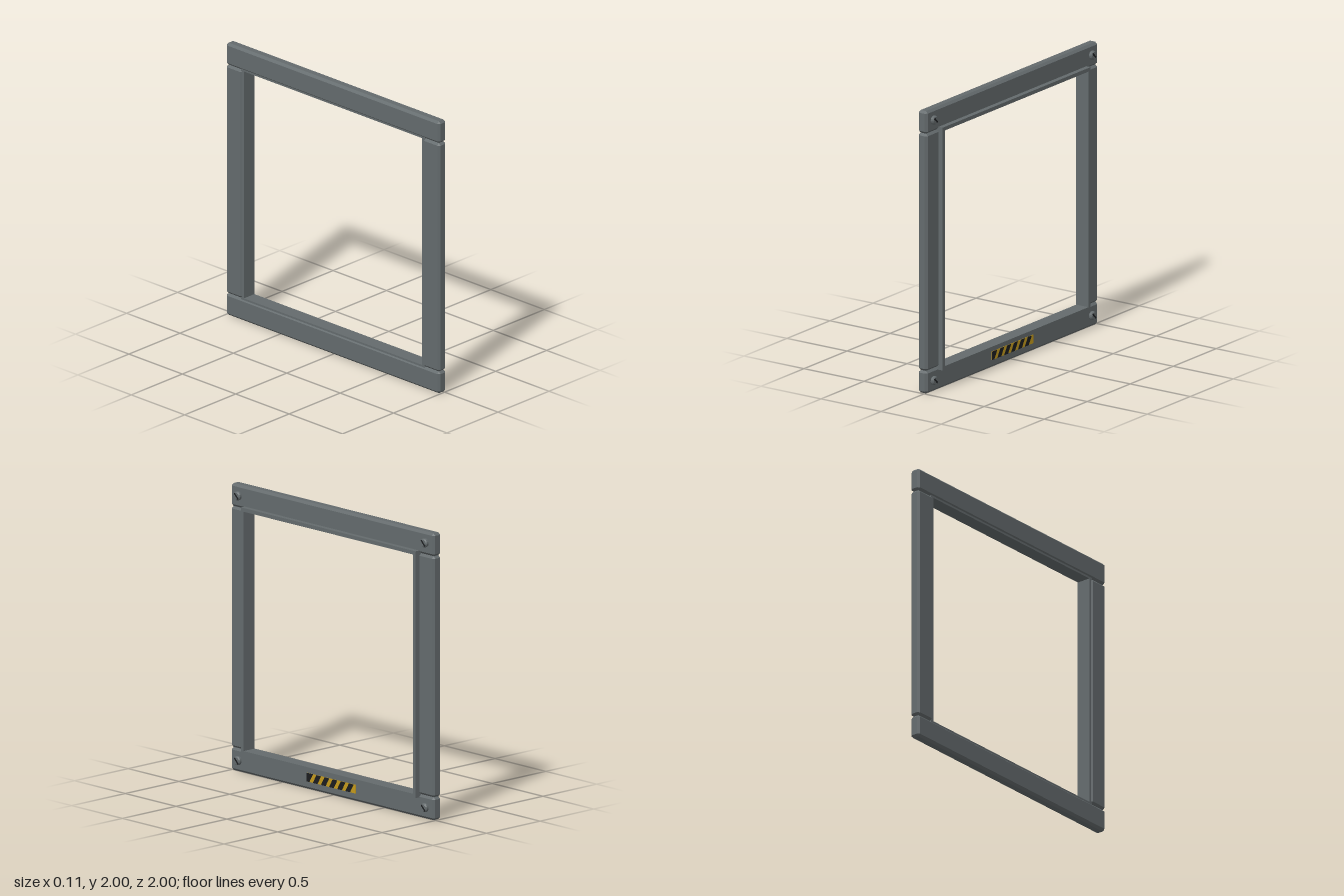
import * as THREE from 'three';
import { ConvexGeometry } from 'three/addons/geometries/ConvexGeometry.js';

const steel = new THREE.MeshStandardMaterial({ color: 0x646b6d });
steel.name = 'steel grey';
const yellow = new THREE.MeshStandardMaterial({ color: 0xc49a1c });
yellow.name = 'warning yellow';
const black = new THREE.MeshStandardMaterial({ color: 0x1b1d1f });
black.name = 'black';

function add(parent, name, geometry, material, x = 0, y = 0, z = 0) {
  const mesh = new THREE.Mesh(geometry, material);
  mesh.name = name;
  mesh.position.set(x, y, z);
  parent.add(mesh);
  return mesh;
}

// Box with every edge bevelled by c
function bevelledBox(w, h, d, c) {
  const points = [];
  for (const sx of [-1, 1]) for (const sy of [-1, 1]) for (const sz of [-1, 1]) {
    const x = w / 2, y = h / 2, z = d / 2;
    points.push(
      new THREE.Vector3(sx * x, sy * (y - c), sz * (z - c)),
      new THREE.Vector3(sx * (x - c), sy * y, sz * (z - c)),
      new THREE.Vector3(sx * (x - c), sy * (y - c), sz * z));
  }
  return new ConvexGeometry(points);
}

// Outline in the frame's plane, extruded towards +x
function plate(shape, depth) {
  return new THREE.ExtrudeGeometry(shape, { depth, bevelEnabled: false }).rotateY(Math.PI / 2);
}

function rectangle(path, hw, hh) {
  path.moveTo(-hw, -hh);
  path.lineTo(hw, -hh);
  path.lineTo(hw, hh);
  path.lineTo(-hw, hh);
  path.closePath();
  return path;
}

function createScrew() {
  const screw = new THREE.Group();
  screw.name = 'screw';
  // Domed head turned round the x axis
  const profile = [[0.031, 0], [0.031, 0.014], [0.024, 0.022], [0, 0.022]]
    .map(([r, h]) => new THREE.Vector2(r, h));
  const head = new THREE.LatheGeometry(profile, 16).rotateZ(-Math.PI / 2).toNonIndexed();
  head.computeVertexNormals();
  add(screw, 'screwHead', head, steel);
  // Diagonal slot, running from upper left to lower right
  const slot = add(screw, 'screwSlot', new THREE.BoxGeometry(0.004, 0.05, 0.011), black, 0.0215);
  slot.rotation.x = Math.PI / 4;
  return screw;
}

function createHazardPlate() {
  const group = new THREE.Group();
  group.name = 'hazardPlate';
  const half = 0.24, h = 0.06;
  add(group, 'yellowPlate', new THREE.BoxGeometry(0.005, h, half * 2), yellow, 0.0015);
  // Slanted stripes, the first one cut off by the plate's edge
  for (let i = 0; i < 6; i++) {
    const u = i * 0.08 - half;
    const left = Math.max(u - 0.02, -half);
    const shape = new THREE.Shape([
      new THREE.Vector2(left, -h / 2), new THREE.Vector2(u + 0.025, -h / 2),
      new THREE.Vector2(u + 0.06, h / 2), new THREE.Vector2(i ? u + 0.015 : left, h / 2)]);
    add(group, 'blackStripe', plate(shape, 0.002), black, 0.0035);
  }
  return group;
}

export function createModel() {
  const model = new THREE.Group();
  model.name = 'squareFrame';
  const cx = -0.0175, thick = 0.075, faceX = 0.02;

  // Beams and posts
  const beam = bevelledBox(thick, 0.16, 2, 0.016);
  add(model, 'bottomBeam', beam, steel, cx, 0.08, 0);
  add(model, 'topBeam', beam, steel, cx, 1.92, 0);
  const post = bevelledBox(thick, 1.68, 0.155, 0.016);
  for (const s of [-1, 1]) add(model, 'sidePost', post, steel, cx, 1, s * 0.9225);

  // Thin lining of the opening, standing proud of the beams
  const lining = rectangle(new THREE.Shape(), 0.86, 0.86);
  lining.holes.push(rectangle(new THREE.Path(), 0.834, 0.834));
  add(model, 'innerLining', plate(lining, 0.102), steel, -0.047, 1, 0);

  // Corner screws
  for (const y of [0.08, 1.925]) for (const s of [-1, 1]) {
    const screw = createScrew();
    screw.position.set(faceX, y, s * 0.92);
    model.add(screw);
  }

  const hazard = createHazardPlate();
  hazard.position.set(faceX, 0.085, 0.003);
  model.add(hazard);
  return model;
}
